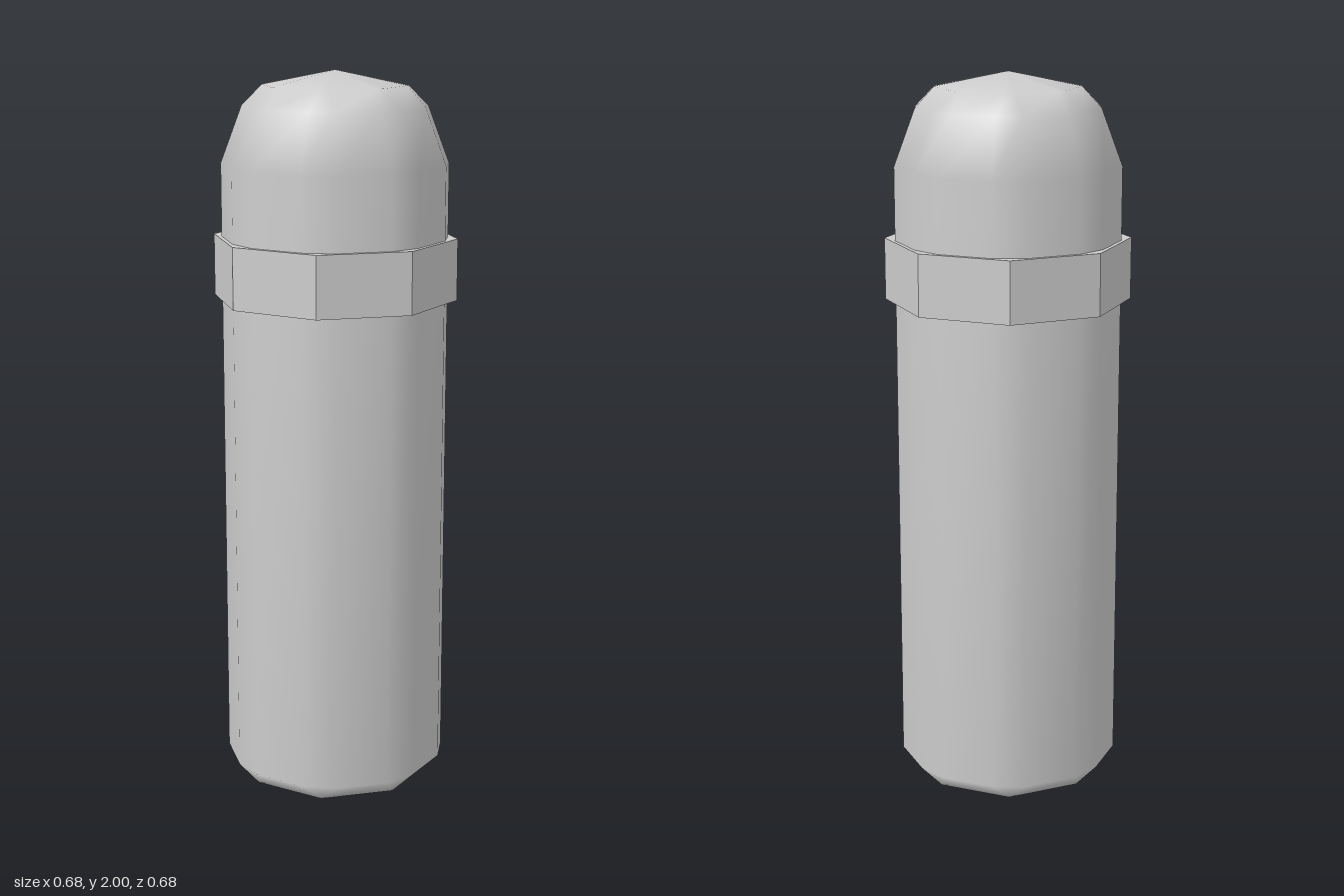
import * as THREE from 'three';
import { mergeVertices } from 'three/addons/utils/BufferGeometryUtils.js';

// Octagon with corners on the axes; cut is the share of each edge trimmed off at a corner
function octagonRing(radius, y, cut) {
  const corner = (k) => new THREE.Vector3(
    radius * Math.sin(k * Math.PI / 4), y, radius * Math.cos(k * Math.PI / 4));
  const points = [];
  for (let k = 0; k < 8; k++) {
    points.push(corner(k).lerp(corner(k - 1), cut), corner(k).lerp(corner(k + 1), cut));
  }
  return points;
}

// Joins rings from bottom to top and closes both ends with a fan
function loft(rings, bottomY, topY) {
  const n = rings[0].length;
  const positions = [];
  const triangle = (a, b, c) => {
    if (a.distanceTo(b) < 1e-5 || b.distanceTo(c) < 1e-5 || c.distanceTo(a) < 1e-5) return;
    for (const p of [a, b, c]) positions.push(p.x, p.y, p.z);
  };
  const bottom = new THREE.Vector3(0, bottomY, 0);
  const top = new THREE.Vector3(0, topY, 0);
  const last = rings[rings.length - 1];
  for (let i = 0; i < n; i++) {
    const j = (i + 1) % n;
    for (let r = 0; r < rings.length - 1; r++) {
      const lower = rings[r], upper = rings[r + 1];
      triangle(lower[i], lower[j], upper[j]);
      triangle(lower[i], upper[j], upper[i]);
    }
    triangle(bottom, rings[0][j], rings[0][i]);
    triangle(top, last[i], last[j]);
  }
  const geometry = new THREE.BufferGeometry();
  geometry.setAttribute('position', new THREE.Float32BufferAttribute(positions, 3));
  const merged = mergeVertices(geometry, 1e-4);
  merged.computeVertexNormals();
  return merged;
}

export function createModel() {
  const group = new THREE.Group();
  const grey = new THREE.MeshStandardMaterial({ color: 0xcccccc });
  grey.name = 'light grey';

  // Bevelled post with a domed top
  const rings = [
    octagonRing(0.272, 0, 0),
    octagonRing(0.326, 0.05, 0.195),
    octagonRing(0.326, 1.75, 0.195),
    octagonRing(0.265, 1.905, 0.195),
    octagonRing(0.203, 1.96, 0.08),
  ];
  const post = new THREE.Mesh(loft(rings, 0, 2), grey);
  post.name = 'post';
  group.add(post);

  // Sharp-edged octagonal collar
  const collarShape = new THREE.CylinderGeometry(0.338, 0.338, 0.17, 8).toNonIndexed();
  collarShape.computeVertexNormals();
  const collar = new THREE.Mesh(collarShape, grey);
  collar.name = 'collar';
  collar.position.y = 1.465;
  group.add(collar);

  return group;
}
